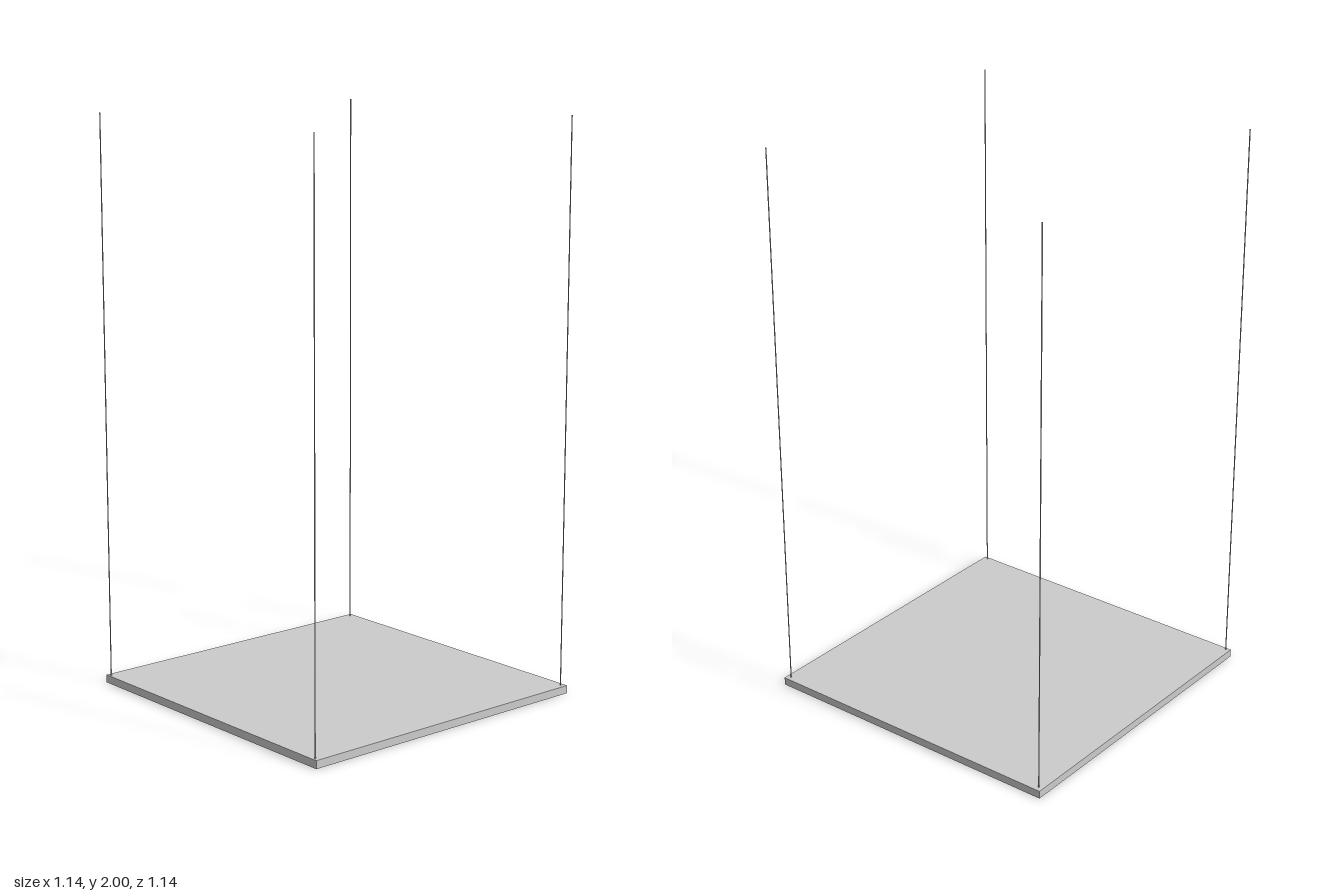
import * as THREE from 'three';

const SIZE = 1.144;   // square panel side
const TOP = 0.028;    // panel thickness
const LIP = 0.006;    // thin diffuser at the bottom
const HEIGHT = 2;

export function createModel() {
  const group = new THREE.Group();
  const material = new THREE.MeshStandardMaterial({ color: 0xcccccc });

  const add = (name, geometry, x, y, z) => {
    const mesh = new THREE.Mesh(geometry, material);
    mesh.name = name;
    mesh.position.set(x, y, z);
    group.add(mesh);
  };

  // Flat hanging panel: housing above a thin diffuser
  add('panelHousing', new THREE.BoxGeometry(SIZE, TOP - LIP, SIZE), 0, (TOP + LIP) / 2, 0);
  add('diffuser', new THREE.BoxGeometry(SIZE, LIP, SIZE), 0, LIP / 2, 0);

  // Four thin suspension cables, one near each corner
  const length = HEIGHT - TOP;
  const cable = new THREE.CylinderGeometry(0.002, 0.002, length, 12);
  for (const [side, x] of [['Left', 0.556], ['Right', -0.556]]) {
    for (const [end, z] of [['front', 0.563], ['back', -0.555]]) {
      add(`${end}${side}Cable`, cable, x, TOP + length / 2, z);
    }
  }
  return group;
}
